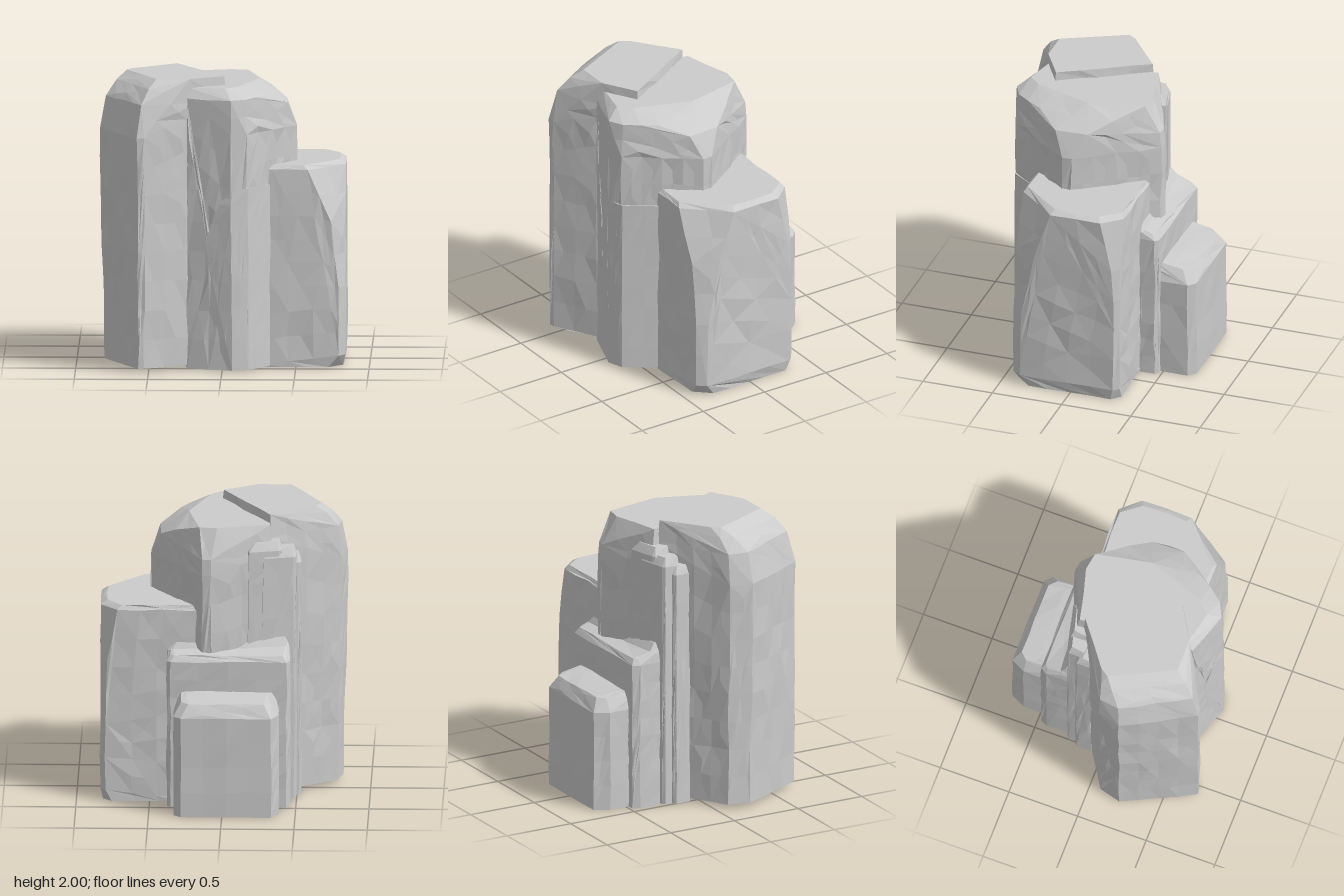
import * as THREE from 'three';
import { ConvexGeometry } from 'three/addons/geometries/ConvexGeometry.js';

const material = new THREE.MeshStandardMaterial({ color: 0xcccccc, flatShading: true });

// Repeatable noise in -1..1 from a position, so neighbouring faces stay joined
function noise(p, seed) {
  const q = (v) => Math.round(v * 1000) / 1000;
  const s = Math.sin(q(p.x) * 127.1 + q(p.y) * 311.7 + q(p.z) * 74.7 + seed * 19.3) * 43758.5453;
  return (s - Math.floor(s)) * 2 - 1;
}

// Halve every edge longer than maxEdge, keeping the mesh closed
function split(tris, maxEdge) {
  const out = [];
  for (const t of tris) {
    const mid = t.map((p, i) => {
      const q = t[(i + 1) % 3];
      return p.distanceTo(q) > maxEdge ? p.clone().add(q).multiplyScalar(0.5) : null;
    });
    const n = mid.filter(Boolean).length;
    if (n === 0) out.push(t);
    else if (n === 3) {
      out.push([t[0], mid[0], mid[2]], [mid[0], t[1], mid[1]], [mid[2], mid[1], t[2]], [...mid]);
    } else {
      // turn the triangle so its first edge is split and its last edge is whole
      let k = 0;
      while (!(mid[k] && !mid[(k + 2) % 3])) k++;
      const [a, b, c] = [t[k], t[(k + 1) % 3], t[(k + 2) % 3]];
      const ab = mid[k], bc = mid[(k + 1) % 3];
      if (bc) out.push([a, ab, c], [ab, b, bc], [ab, bc, c]);
      else out.push([a, ab, c], [ab, b, c]);
    }
  }
  return out;
}

// A hewn block: hull around horizontal outlines [y, x, z, x, z, ...], faces slightly uneven
function stone(name, layers, amount = 0.007) {
  const points = [];
  for (const [y, ...xz] of layers) {
    for (let i = 0; i < xz.length; i += 2) points.push(new THREE.Vector3(xz[i], y, xz[i + 1]));
  }
  const pos = new ConvexGeometry(points).getAttribute('position');
  let tris = [];
  for (let i = 0; i < pos.count; i += 3) {
    tris.push([0, 1, 2].map((j) => new THREE.Vector3().fromBufferAttribute(pos, i + j)));
  }
  for (let i = 0; i < 4; i++) tris = split(tris, 0.24);
  const isCorner = (p) => points.some((c) => c.distanceTo(p) < 1e-4);
  const [low, high] = [layers[0][0], layers[layers.length - 1][0]];
  const verts = tris.flat().map((p) => {
    if (isCorner(p)) return p;
    const flat = p.y < low + 1e-4 || p.y > high - 1e-4;
    return new THREE.Vector3(
      p.x + noise(p, 1) * amount,
      flat ? p.y : p.y + noise(p, 2) * amount,
      p.z + noise(p, 3) * amount);
  });
  const geometry = new THREE.BufferGeometry().setFromPoints(verts);
  geometry.computeVertexNormals();
  const mesh = new THREE.Mesh(geometry, material);
  mesh.name = name;
  return mesh;
}

export function createModel() {
  const group = new THREE.Group();
  group.name = 'rockFormation';

  // Tallest pillar, turned, with a broad slope on its outer top edge
  group.add(stone('tallPillar', [
    [0.03, -0.81, 0.23, -0.77, 0.08, -0.32, -0.21, 0.03, 0.39, -0.53, 0.71, -0.57, 0.715],
    [1.62, -0.84, 0.24, -0.8, 0.08, -0.32, -0.21, 0.03, 0.39, -0.53, 0.715, -0.58, 0.72],
    [1.84, -0.8, 0.22, -0.78, 0.08, -0.32, -0.21, 0.03, 0.39, -0.35, 0.61, -0.55, 0.67],
    [1.94, -0.73, 0.15, -0.7, 0.06, -0.27, 0.55, -0.5, 0.6],
    [2.0, -0.66, 0.09, -0.62, 0.03, -0.32, -0.2, 0.01, 0.385, -0.22, 0.52, -0.45, 0.52],
  ]));

  // Middle pillar with rounded-off back and right shoulders
  const midBase = [-0.34, -0.27, 0.08, -0.43, 0.14, -0.42, 0.5, 0.1, 0.5, 0.17,
    0.17, 0.62, 0.06, 0.655, -0.24, 0.55];
  group.add(stone('middlePillar', [
    [0.01, ...midBase],
    [1.63, ...midBase],
    [1.74, -0.34, -0.27, 0.08, -0.42, 0.14, -0.41],
    [1.8, 0.43, 0.01, 0.44, 0.24],
    [1.87, 0.32, -0.13, 0.3, 0.4, 0.16, 0.6, 0.06, 0.65, -0.24, 0.55],
    [1.94, -0.32, -0.24, 0.04, -0.33, 0.16, -0.31, 0.24, 0.08, 0.1, 0.48, 0.02, 0.56, -0.24, 0.5],
  ]));

  // Shallow raised slab low on the middle pillar's front corner
  group.add(stone('frontSlab', [
    [0.01, -0.1, 0.58, 0.07, 0.663, 0.18, 0.625, 0.36, 0.37],
    [0.88, -0.12, 0.595, 0.07, 0.663],
    [1.15, -0.02, 0.63, 0.06, 0.664],
    [1.26, 0.07, 0.655, 0.18, 0.62, 0.36, 0.37, 0.1, 0.5],
  ], 0.002));

  // Shorter pillar on the left side with a slanted front corner
  group.add(stone('sidePillar', [
    [0.0, 0.1, -0.35, 0.76, -0.35, 0.82, -0.29, 0.82, 0.3, 0.72, 0.41, 0.1, 0.42],
    [0.08, 0.1, -0.35, 0.8, -0.35, 0.835, -0.31, 0.835, 0.36, 0.79, 0.42, 0.1, 0.42],
    [0.55, 0.1, -0.35, 0.8, -0.35, 0.835, -0.32, 0.835, 0.35, 0.79, 0.42, 0.1, 0.42],
    [1.0, 0.79, -0.35, 0.835, -0.3, 0.835, 0.26, 0.74, 0.42],
    [1.36, 0.1, -0.35, 0.72, -0.35, 0.835, -0.22, 0.835, 0.14, 0.58, 0.42, 0.1, 0.42],
    [1.39, 0.1, -0.33, 0.69, -0.33, 0.79, -0.2, 0.79, 0.12, 0.55, 0.4, 0.1, 0.4],
  ]));

  // Narrow upright ridges in the back corner beside the tall pillar
  for (const [i, [x, z, top]] of [[-0.53, -0.2, 1.72], [-0.5, -0.27, 1.78], [-0.4, -0.29, 1.83]].entries()) {
    group.add(stone('cornerRidge' + (i + 1), [
      [0.01, x, z + 0.12, x, z + 0.015, x + 0.02, z, x + 0.25, z - 0.06, x + 0.3, z + 0.15],
      [top - 0.06, x, z + 0.12, x, z + 0.015, x + 0.02, z, x + 0.22, z - 0.05, x + 0.3, z + 0.15],
      [top, x + 0.02, z + 0.12, x + 0.03, z + 0.03, x + 0.18, z - 0.01, x + 0.3, z + 0.15],
    ], 0.003));
  }

  // Two descending steps at the back: [name, left x, right x, back z, shoulder y, top y, chamfer]
  for (const [name, x0, x1, z, shoulder, top, c] of [
    ['upperBackStep', -0.46, 0.38, -0.48, 1.03, 1.07, 0.025],
    ['lowerBackStep', -0.385, 0.33, -0.725, 0.7, 0.79, 0.05],
  ]) {
    const outline = [x0, -0.2, x0, z + 2 * c, x0 + c, z, x1 - c, z, x1, z + c, x1, -0.2];
    group.add(stone(name, [
      [0.0, ...outline],
      [shoulder, ...outline],
      [top, x0 + c / 2, -0.35, x0 + c, z + 2 * c, x0 + 2 * c, z + c, x1 - 2 * c, z + c, x1 - c, z + 2 * c, x1 - c / 2, -0.35],
      [top + 0.08, x0 + c, -0.2, x1 - c, -0.2],
    ], 0.005));
  }

  // Thin ledge between the upper step and the pillars
  group.add(stone('backLedge', [
    [0.0, -0.44, -0.36, 0.35, -0.385, 0.38, -0.36, 0.35, -0.1, -0.48, -0.1],
    [1.08, -0.44, -0.36, 0.35, -0.385, 0.38, -0.36, 0.35, -0.1, -0.48, -0.1],
    [1.16, -0.42, -0.3, 0.3, -0.34, 0.3, -0.1, -0.46, -0.1],
  ], 0.003));

  return group;
}
